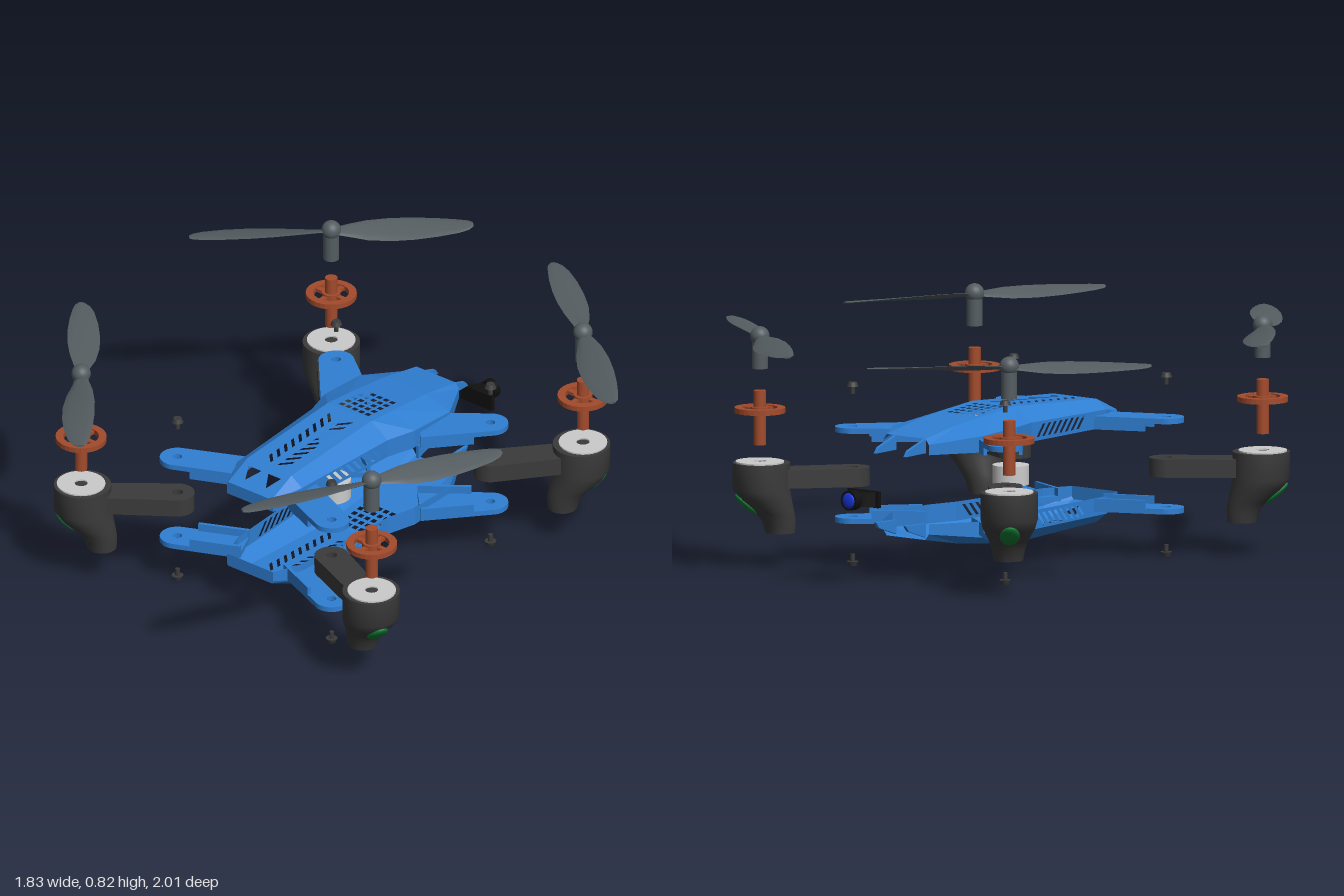
import * as THREE from 'three';
import { mergeGeometries, toCreasedNormals } from 'three/addons/utils/BufferGeometryUtils.js';

const mat = (color, side = THREE.FrontSide) => new THREE.MeshStandardMaterial({ color, side });
const blue = mat(0x2f7fd3, THREE.DoubleSide), dark = mat(0x3b3b3b), black = mat(0x101010), grey = mat(0xcccccc);
const copper = mat(0xa34b2c), slate = mat(0x555d61), green = mat(0x0f7a35), lensBlue = mat(0x1535e0);

function add(parent, name, geo, material, x = 0, y = 0, z = 0) {
  const m = new THREE.Mesh(geo, material);
  m.name = name;
  m.position.set(x, y, z);
  parent.add(m);
  return m;
}
const cyl = (r, y0, y1, n = 24, r2 = r) => new THREE.CylinderGeometry(r2, r, y1 - y0, n).translate(0, (y0 + y1) / 2, 0);
const shapeOf = (pts, holes = []) => {
  const s = new THREE.Shape(pts.map(p => new THREE.Vector2(...p)));
  holes.forEach(h => s.holes.push(new THREE.Path(h.map(p => new THREE.Vector2(...p)))));
  return s;
};
// Horizontal slab from a flat shape, between heights y0 and y1
const slab = (shape, y0, y1) => new THREE.ExtrudeGeometry(shape, { depth: y1 - y0, bevelEnabled: false, curveSegments: 14 })
  .rotateX(-Math.PI / 2).translate(0, y0, 0);

// Skin through closed rings of points, with both ends capped
function loft(rings) {
  const n = rings[0].length, pos = rings.flat(2), idx = [];
  for (let i = 0; i < rings.length - 1; i++) for (let j = 0; j < n; j++) {
    const a = i * n + j, b = i * n + (j + 1) % n;
    idx.push(a, b, a + n, b, b + n, a + n);
  }
  const last = (rings.length - 1) * n;
  for (let j = 1; j < n - 1; j++) idx.push(0, j + 1, j, last, last + j, last + j + 1);
  const g = new THREE.BufferGeometry();
  g.setAttribute('position', new THREE.Float32BufferAttribute(pos, 3));
  g.setIndex(idx);
  return toCreasedNormals(g, 0.7);
}

// Flat panel with holes, placed in space by a mapping rule
function panel(pts, holes, map) {
  const g = new THREE.ShapeGeometry(shapeOf(pts, holes)).toNonIndexed();
  const p = g.attributes.position;
  for (let i = 0; i < p.count; i++) p.setXYZ(i, ...map(p.getX(i), p.getY(i)));
  g.deleteAttribute('uv');
  g.computeVertexNormals();
  return g;
}

// Body stations: z, half width, half width of roof, shoulder height, roof height
const BASE = 0.43;
const stations = [
  [-0.55, 0.1, 0.085, 0.465, 0.485], [-0.385, 0.195, 0.09, 0.485, 0.515], [-0.2, 0.195, 0.095, 0.495, 0.535],
  [-0.09, 0.165, 0.095, 0.495, 0.545], [0.335, 0.14, 0.095, 0.49, 0.522], [0.44, 0.1, 0.095, 0.465, 0.475],
];

function shellGeometry() {
  const roofHoles = [], wallHoles = [];
  // grid of square vents
  for (let i = 0; i < 5; i++) for (let j = 0; j < 5; j++) {
    const x = (i - 2) * 0.028, z = -0.25 + j * 0.0325, h = 0.009;
    roofHoles.push([[x - h, z - h], [x + h, z - h], [x + h, z + h], [x - h, z + h]]);
  }
  // two columns of slanted roof slots
  for (let i = 0; i < 9; i++) for (const s of [-1, 1]) {
    const z = -0.015 + i * 0.0385;
    roofHoles.push([[s * 0.015, z + 0.004], [s * 0.05, z - 0.032], [s * 0.05, z - 0.017], [s * 0.015, z + 0.019]]);
  }
  // triangular nose openings
  for (const s of [-1, 1]) roofHoles.push([[s * 0.015, 0.36], [s * 0.07, 0.36], [s * 0.045, 0.41]]);
  // slanted side slots
  for (let i = 0; i < 8; i++) {
    const z = -0.06 + i * 0.032;
    wallHoles.push([[z, 0.442], [z + 0.014, 0.442], [z + 0.05, 0.484], [z + 0.036, 0.484]]);
  }
  const parts = [];
  for (let i = 0; i < stations.length - 1; i++) {
    const [z0, w0, t0, m0, y0] = stations[i], [z1, w1, t1, m1, y1] = stations[i + 1];
    const mix = (a, b, z) => a + (b - a) * (z - z0) / (z1 - z0);
    parts.push(panel([[-t0, z0], [t0, z0], [t1, z1], [-t1, z1]],
      roofHoles.filter(h => h[0][1] > z0 && h[0][1] < z1), (x, z) => [x, mix(y0, y1, z), z]));
    for (const s of [-1, 1]) {
      parts.push(panel([[z0, BASE], [z1, BASE], [z1, m1], [z0, m0]], i === 3 ? wallHoles : [],
        (z, y) => [s * mix(w0, w1, z), y, z]));
      parts.push(panel([[z0, 0], [z1, 0], [z1, 1], [z0, 1]], [], (z, v) => [
        s * mix(w0 + (t0 - w0) * v, w1 + (t1 - w1) * v, z), mix(m0 + (y0 - m0) * v, m1 + (y1 - m1) * v, z), z]));
    }
  }
  // nose lip
  parts.push(panel([[-0.1, BASE], [0.1, BASE], [0.1, 0.465], [0.095, 0.475], [-0.095, 0.475], [-0.1, 0.465]], [],
    (x, y) => [x, y, 0.44]));
  return mergeGeometries(parts);
}

// Arm outline along +x: root half width, length to the rounded end, hole in the end
function armShape(root, len, r, hole) {
  const s = new THREE.Shape();
  s.moveTo(0, -root);
  s.lineTo(len, -r);
  s.absarc(len, 0, r, -Math.PI / 2, Math.PI / 2, false);
  s.lineTo(0, root);
  s.holes.push(new THREE.Path().absarc(len, 0, hole, 0, Math.PI * 2, true));
  return s;
}

const screwZ = { front: 0.415, back: -0.43 };

function bodyHalf(name) {
  const g = new THREE.Group();
  g.name = name;
  add(g, 'shell', shellGeometry(), blue);
  for (const s of [-1, 1]) {
    // bracket arms: root x, root z, screw z, root half width
    for (const [rx, rz, sz, root] of [[0.12, 0.32, screwZ.front, 0.062], [0.16, -0.265, screwZ.back, 0.085]]) {
      const dx = 0.335 - rx, dz = sz - rz, len = Math.hypot(dx, dz);
      const arm = new THREE.Group();
      arm.name = 'bracketArm';
      arm.position.set(s * rx, 0, rz);
      arm.rotation.y = -Math.atan2(dz, s * dx);
      add(arm, 'bracketPlate', slab(armShape(root, len, 0.06, 0.016), 0.457, 0.475), blue);
      for (const e of [-1, 1]) {
        const rib = [[0, e * root], [len * 0.75, e * (root + (0.06 - root) * 0.75)],
          [len * 0.75, e * (root + (0.06 - root) * 0.75 - 0.012)], [0, e * (root - 0.012)]];
        add(arm, 'bracketRib', slab(shapeOf(rib), BASE, 0.457), blue);
      }
      g.add(arm);
      // loose screw
      const screw = new THREE.Group();
      screw.name = 'screw';
      screw.position.set(s * 0.335, 0, sz);
      add(screw, 'screwHead', cyl(0.02, 0.61, 0.625, 16, 0.014), dark);
      add(screw, 'screwShank', cyl(0.008, 0.585, 0.612, 12), dark);
      g.add(screw);
    }
    // tail prongs
    const prong = new THREE.ExtrudeGeometry(shapeOf([[0.53, 0.432], [0.635, 0.43], [0.62, 0.45], [0.53, 0.48]]),
      { depth: 0.012, bevelEnabled: false }).rotateY(Math.PI / 2);
    add(g, 'tailProng', prong, blue, s * 0.065 - 0.006);
  }
  return g;
}

function motorArm(len) {
  const g = new THREE.Group();
  g.name = 'motorArm';
  // pod rings: height, inward shift, radius
  const rings = [[0.36, 0.005, 0.097], [0.27, 0.005, 0.097], [0.235, 0.02, 0.088], [0.19, 0.05, 0.067], [0.16, 0.065, 0.057], [0.12, 0.07, 0.05]]
    .map(([y, c, r]) => Array.from({ length: 32 }, (_, j) => {
      const a = j / 32 * Math.PI * 2;
      return [c + r * Math.cos(a), y, r * Math.sin(a)];
    }));
  add(g, 'motorPod', loft(rings), dark);
  add(g, 'armBar', slab(armShape(0.05, len, 0.058, 0.018), 0.275, 0.337), dark);
  const cap = new THREE.Shape().absarc(0, 0, 0.082, 0, Math.PI * 2);
  cap.holes.push(new THREE.Path().absarc(0, 0, 0.022, 0, Math.PI * 2, true));
  add(g, 'podCap', slab(cap, 0.355, 0.365), grey);
  const light = add(g, 'podLight', new THREE.SphereGeometry(1, 24, 14).scale(0.052, 0.014, 0.034), green, -0.045, 0.218, 0);
  light.rotation.z = -0.72;
  return g;
}

function motorGear() {
  const g = new THREE.Group();
  g.name = 'motorGear';
  add(g, 'gearShaft', cyl(0.021, 0.42, 0.605), copper);
  add(g, 'gearHub', cyl(0.032, 0.525, 0.55), copper);
  const ring = new THREE.Shape().absarc(0, 0, 0.086, 0, Math.PI * 2);
  ring.holes.push(new THREE.Path().absarc(0, 0, 0.06, 0, Math.PI * 2, true));
  add(g, 'gearRing', slab(ring, 0.53, 0.548), copper);
  for (let i = 0; i < 2; i++) add(g, 'gearSpokes', new THREE.BoxGeometry(0.13, 0.012, 0.018).rotateY(i * Math.PI / 2), copper, 0, 0.538);
  return g;
}

function propeller() {
  const g = new THREE.Group();
  g.name = 'propeller';
  add(g, 'propHub', cyl(0.027, 0.68, 0.79), slate);
  add(g, 'propCap', new THREE.SphereGeometry(0.033, 24, 16), slate, 0, 0.79);
  // blade sections: radius, chord centre, half chord, pitch
  const rings = [[0.015, 0, 0.018, 0.3], [0.06, 0, 0.03, 0.32], [0.12, 0.002, 0.046, 0.3], [0.2, 0.003, 0.056, 0.25],
    [0.28, 0.002, 0.056, 0.21], [0.36, 0, 0.049, 0.17], [0.43, -0.003, 0.037, 0.14], [0.465, -0.007, 0.026, 0.12], [0.48, -0.01, 0.012, 0.12]]
    .map(([x, c, h, pitch]) => Array.from({ length: 12 }, (_, j) => {
      const a = j / 12 * Math.PI * 2, z = c + h * Math.cos(a), y = -0.004 * Math.sin(a);
      return [x, y * Math.cos(pitch) - z * Math.sin(pitch), y * Math.sin(pitch) + z * Math.cos(pitch)];
    }));
  const blade = loft(rings);
  for (let i = 0; i < 2; i++) add(g, 'propBlade', blade, slate, 0, 0.785).rotation.y = i * Math.PI;
  return g;
}

function camera() {
  const g = new THREE.Group();
  g.name = 'cameraUnit';
  add(g, 'cameraPlate', new THREE.BoxGeometry(0.136, 0.056, 0.014), black, 0, 0, -0.77);
  const neck = [[-0.775, 0.058, 0.026], [-0.8, 0.034, 0.024], [-0.825, 0.024, 0.022]]
    .map(([z, w, h]) => [[w, h, z], [w, -h, z], [-w, -h, z], [-w, h, z]]);
  add(g, 'cameraNeck', loft(neck), black);
  add(g, 'cameraBarrel', new THREE.CylinderGeometry(0.034, 0.034, 0.03, 24).rotateX(Math.PI / 2), black, 0, 0, -0.837);
  add(g, 'cameraLens', new THREE.SphereGeometry(0.027, 20, 12).scale(1, 1, 0.35), lensBlue, 0, 0, -0.85);
  g.position.y = 0.3;
  return g;
}

export function createModel() {
  const model = new THREE.Group();
  model.name = 'explodedQuadcopter';
  model.add(bodyHalf('upperBody'));
  const lower = bodyHalf('lowerBody');
  lower.scale.y = -1;
  lower.position.y = 0.625;
  model.add(lower);

  // rotor units: hub x, hub z, blade direction x, z
  for (const [x, z, bx, bz] of [[-0.555, -0.672, 66, -62], [0.537, -0.675, 69, 58], [-0.595, 0.61, 55, 71], [0.617, 0.547, 41, -80]]) {
    const dx = Math.sign(x) * 0.335 - x, dz = (z > 0 ? screwZ.front : screwZ.back) - z;
    const arm = motorArm(Math.hypot(dx, dz)), gear = motorGear(), prop = propeller();
    arm.rotation.y = -Math.atan2(dz, dx);
    prop.rotation.y = -Math.atan2(bz, bx);
    for (const part of [arm, gear, prop]) {
      part.position.set(x, 0, z);
      model.add(part);
    }
  }
  add(model, 'coreDrum', cyl(0.062, 0.26, 0.327, 32), grey);
  model.add(camera());
  return model;
}
